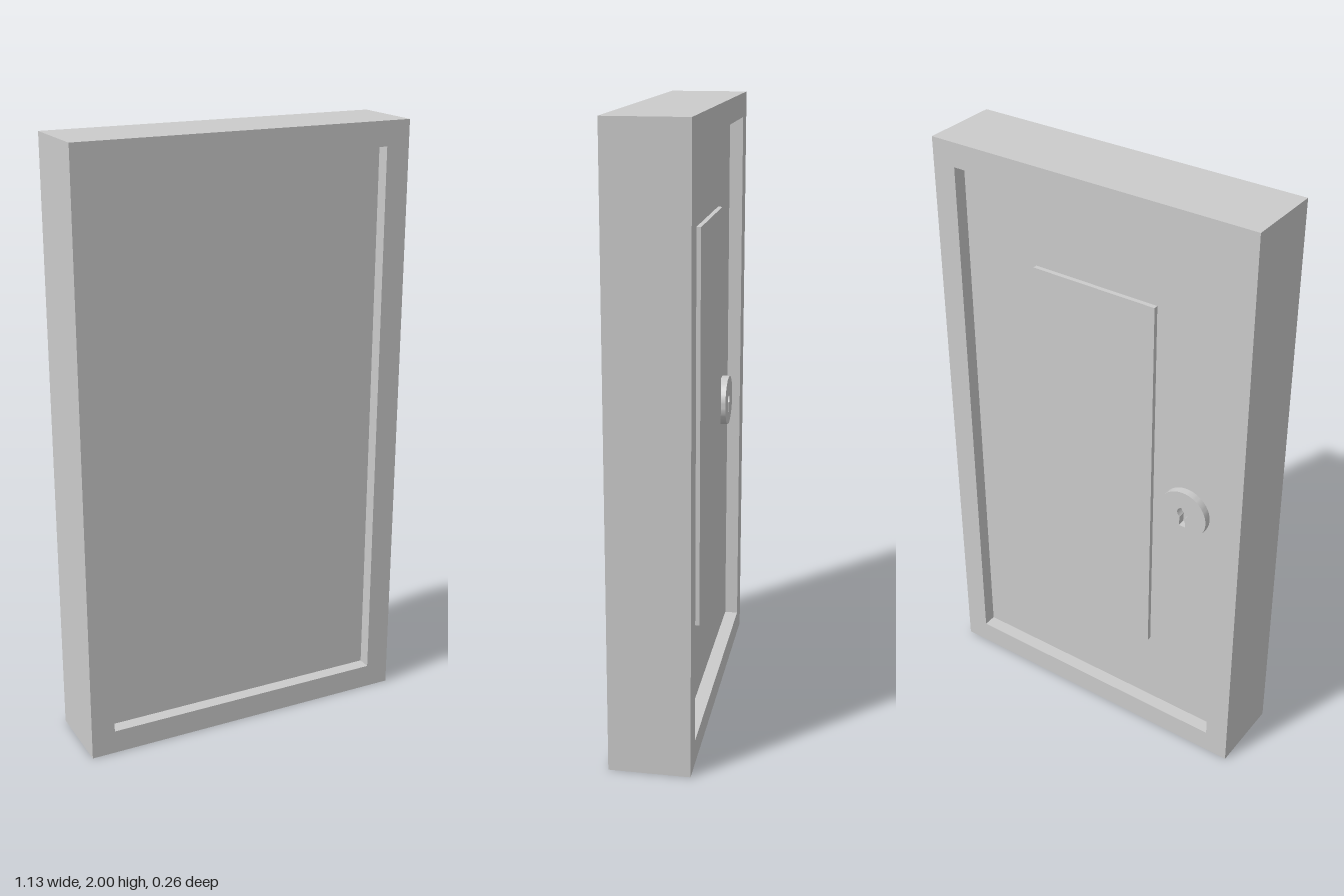
import * as THREE from 'three';
import { toCreasedNormals } from 'three/addons/utils/BufferGeometryUtils.js';

const W = 1.13, H = 2, D = 0.26; // overall size
const BORDER = 0.08;             // width of the frame's face
const LEAF = 0.17;               // thickness of the door leaf

export function createModel() {
  const model = new THREE.Group();
  model.name = 'door';
  const material = new THREE.MeshStandardMaterial({ color: 0xcccccc });

  const add = (name, geometry, x, y, z) => {
    const mesh = new THREE.Mesh(geometry, material);
    mesh.name = name;
    mesh.position.set(x, y, z);
    model.add(mesh);
    return mesh;
  };

  const rectangle = (target, w, h) => target
    .moveTo(-w / 2, -h / 2).lineTo(w / 2, -h / 2)
    .lineTo(w / 2, h / 2).lineTo(-w / 2, h / 2).closePath();

  // Surrounding frame with a rectangular opening
  const innerW = W - 2 * BORDER, innerH = H - 2 * BORDER;
  const frame = rectangle(new THREE.Shape(), W, H);
  frame.holes.push(rectangle(new THREE.Path(), innerW, innerH));
  add('frame', new THREE.ExtrudeGeometry(frame, { depth: D, bevelEnabled: false }), 0, H / 2, -D / 2);

  // Door leaf, set back from the frame on both sides
  add('leaf', new THREE.BoxGeometry(innerW, innerH, LEAF), 0, H / 2, 0);

  // Shallow raised panel on the back
  const raise = 0.015;
  add('raisedPanel', new THREE.BoxGeometry(0.44, 1.3, raise), 0, H / 2, -LEAF / 2 - raise / 2);

  // Round lock plate pierced by a keyhole
  const plate = new THREE.Shape().absarc(0, 0, 0.085, 0, Math.PI * 2);
  const keyhole = new THREE.Path();
  keyhole.absarc(0, 0.006, 0.019, -Math.PI / 3, Math.PI * 4 / 3);
  keyhole.lineTo(-0.011, -0.045).lineTo(0.011, -0.045).closePath();
  plate.holes.push(keyhole);
  const plateGeometry = new THREE.ExtrudeGeometry(plate, { depth: 0.025, bevelEnabled: false, curveSegments: 32 });
  const lock = add('lockPlate', toCreasedNormals(plateGeometry, 0.6), -0.345, 0.955, -LEAF / 2);
  lock.rotation.y = Math.PI;

  return model;
}
